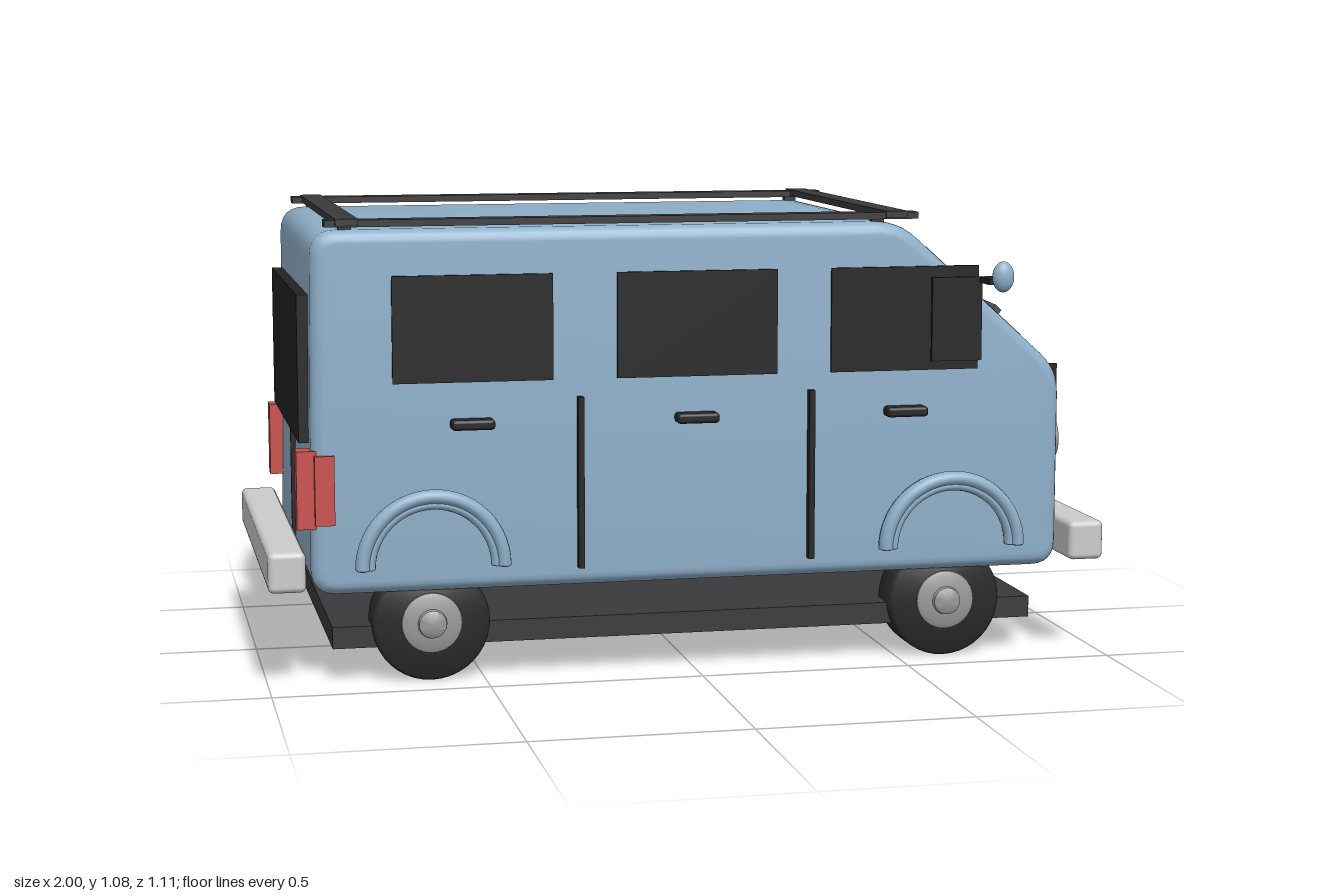
import * as THREE from 'three';
import { toCreasedNormals } from 'three/addons/utils/BufferGeometryUtils.js';
import { RoundedBoxGeometry } from 'three/addons/geometries/RoundedBoxGeometry.js';

const paint = (color) => new THREE.MeshStandardMaterial({ color });
const blue = paint(0x8fb0ca), black = paint(0x222222), dark = paint(0x3a3a3c), tyre = paint(0x2a2a2a);
const chrome = paint(0xcccccc), grey = paint(0x9a9a98), red = paint(0xc9504c), lens = paint(0x555a66);
const wiperGrey = paint(0x55555a);

export function createModel() {
  const van = new THREE.Group();
  van.name = 'van';

  const add = (name, geo, mat, x = 0, y = 0, z = 0) => {
    const m = new THREE.Mesh(geo, mat);
    m.name = name;
    m.position.set(x, y, z);
    van.add(m);
    return m;
  };
  // Box given by its limits on each axis
  const box = (name, mat, x0, x1, y0, y1, z0, z1) =>
    add(name, new THREE.BoxGeometry(x1 - x0, y1 - y0, z1 - z0), mat, (x0 + x1) / 2, (y0 + y1) / 2, (z0 + z1) / 2);
  // The same box on both sides
  const pair = (name, mat, x0, x1, y0, y1, z0, z1) => {
    box(name, mat, x0, x1, y0, y1, z0, z1);
    box(name, mat, x0, x1, y0, y1, -z1, -z0);
  };

  // Body shell: side profile with softened corners, extruded across the width
  const corners = [[-0.9, 0.215], [0.892, 0.215], [0.892, 0.69], [0.49, 1.05], [-0.89, 1.05]]
    .map((p) => new THREE.Vector2(...p));
  const profile = new THREE.Shape();
  corners.forEach((c, i) => {
    const toward = (o) => c.clone().add(o.clone().sub(c).setLength(0.06));
    const a = toward(corners[(i + 4) % 5]), b = toward(corners[(i + 1) % 5]);
    if (i === 0) profile.moveTo(a.x, a.y); else profile.lineTo(a.x, a.y);
    profile.quadraticCurveTo(c.x, c.y, b.x, b.y);
  });
  profile.closePath();
  const shell = new THREE.ExtrudeGeometry(profile, {
    depth: 0.814, curveSegments: 6, bevelThickness: 0.03, bevelSize: 0.03, bevelOffset: -0.03, bevelSegments: 5,
  });
  add('body', toCreasedNormals(shell, 0.6), blue, 0, 0, -0.407);

  // Side windows, door seams and handles
  for (const [x0, x1] of [[-0.71, -0.34], [-0.19, 0.19], [0.32, 0.68]])
    pair('sideWindow', black, x0, x1, 0.7, 0.945, 0.43, 0.444);
  for (const x of [-0.278, 0.272]) pair('doorSeam', black, x - 0.007, x + 0.007, 0.26, 0.66, 0.43, 0.458);
  for (const x of [-0.53, -0.005, 0.5]) {
    for (const s of [-1, 1])
      add('doorHandle', new RoundedBoxGeometry(0.1, 0.024, 0.045, 2, 0.008), black, x, 0.605, s * 0.456);
  }

  // Windscreen with wipers, laid on the sloping front
  const slope = new THREE.Group();
  slope.name = 'windscreenGroup';
  slope.position.set(0.69, 0.87, 0);
  slope.rotation.z = -Math.atan2(0.36, 0.402);
  van.add(slope);
  const onSlope = (name, mat, w, h, d, x, y, z) => {
    const m = new THREE.Mesh(new THREE.BoxGeometry(w, h, d), mat);
    m.name = name;
    m.position.set(x, y, z);
    slope.add(m);
    return m;
  };
  onSlope('windscreen', black, 0.325, 0.014, 0.69, 0.005, 0.004, 0);
  for (const s of [-1, 1]) {
    onSlope('wiper', wiperGrey, 0.022, 0.014, 0.175, 0.092, 0.026, s * 0.19).rotation.y = s * 0.12;
    onSlope('wiperPivot', wiperGrey, 0.016, 0.03, 0.026, 0.094, 0.02, s * 0.019);
  }

  // Rear window and door seam
  box('rearWindow', black, -0.918, -0.885, 0.56, 0.9, -0.365, 0.365);
  box('rearDoorSeam', black, -0.908, -0.88, 0.27, 0.56, -0.006, 0.006);

  // Tail lights on the back and around the corner
  pair('tailLight', red, -0.93, -0.885, 0.37, 0.55, 0.38, 0.43);
  pair('sideTailLight', red, -0.89, -0.845, 0.38, 0.54, 0.42, 0.448);

  // Roof rack
  pair('rackRail', dark, -0.86, 0.525, 1.058, 1.074, 0.405, 0.455);
  for (const x of [-0.81, 0.472]) box('rackCrossbar', dark, x - 0.026, x + 0.026, 1.061, 1.077, -0.459, 0.459);
  for (const x of [-0.81, 0.44]) pair('rackFoot', dark, x - 0.015, x + 0.015, 1.03, 1.06, 0.39, 0.41);

  // Bumpers
  for (const s of [-1, 1])
    add(s > 0 ? 'frontBumper' : 'rearBumper', new RoundedBoxGeometry(0.086, 0.094, 0.924, 3, 0.014), chrome, s * 0.957, 0.277, 0);

  // Headlights and front trim strips
  for (const s of [-1, 1]) {
    const cup = add('headlightBody', new THREE.CylinderGeometry(0.054, 0.054, 0.04, 32), dark, 0.9, 0.505, s * 0.28);
    cup.rotation.z = -Math.PI / 2;
    const ring = add('headlightRing', new THREE.TorusGeometry(0.051, 0.009, 10, 32), grey, 0.92, 0.505, s * 0.28);
    ring.rotation.y = Math.PI / 2;
    const glass = add('headlightLens', new THREE.SphereGeometry(0.045, 24, 12), lens, 0.918, 0.505, s * 0.28);
    glass.scale.x = 0.35;
  }
  pair('frontTrim', black, 0.885, 0.913, 0.44, 0.695, 0.343, 0.352);

  // Grille with a raised lattice
  add('grille', new RoundedBoxGeometry(0.045, 0.085, 0.152, 2, 0.01), black, 0.908, 0.368, 0);
  for (let i = -3; i <= 3; i++) box('grilleBar', dark, 0.925, 0.935, 0.338, 0.398, i * 0.02 - 0.003, i * 0.02 + 0.003);
  for (const y of [0.352, 0.384]) box('grilleBar', dark, 0.925, 0.934, y - 0.003, y + 0.003, -0.065, 0.065);

  // Wing mirrors on plates in the front windows
  pair('mirrorPlate', black, 0.56, 0.682, 0.722, 0.92, 0.454, 0.464);
  pair('mirrorArm', black, 0.676, 0.718, 0.906, 0.92, 0.456, 0.53);
  for (const s of [-1, 1])
    add('mirror', new THREE.SphereGeometry(1, 24, 16), blue, 0.708, 0.925, s * 0.535).scale.set(0.026, 0.036, 0.02);

  // Wheels, arches and axles
  const turned = (points) => new THREE.LatheGeometry(points.map((p) => new THREE.Vector2(...p)), 40);
  const tyreGeo = toCreasedNormals(turned([[0.0001, -0.05], [0.128, -0.05], [0.137, -0.042], [0.137, 0.042], [0.128, 0.05], [0.0001, 0.05]]), 0.9);
  const hubGeo = toCreasedNormals(turned([[0.07, 0.045], [0.07, 0.056], [0.06, 0.061], [0.034, 0.064], [0.032, 0.074], [0.02, 0.081], [0.0001, 0.083]]), 0.6);
  for (const x of [-0.623, 0.617]) {
    for (const s of [-1, 1]) {
      const wheel = new THREE.Group();
      wheel.name = 'wheel';
      wheel.position.set(x, 0.138, s * 0.361);
      wheel.rotation.x = s * Math.PI / 2;
      const rubber = new THREE.Mesh(tyreGeo, tyre), hub = new THREE.Mesh(hubGeo, grey);
      rubber.name = 'tyre';
      hub.name = 'hub';
      wheel.add(rubber, hub);
      van.add(wheel);
      for (const [r, t, z] of [[0.163, 0.017, 0.458], [0.145, 0.012, 0.456]]) {
        const arch = add('wheelArch', new THREE.TorusGeometry(r, t, 12, 28, Math.PI), blue, x, 0.278, s * z);
        arch.scale.z = 1.35;
        for (const e of [-1, 1])
          add('archEnd', new THREE.SphereGeometry(t, 12, 8), blue, x + e * r, 0.278, s * z).scale.set(1, 0.3, 1.35);
      }
    }
    box('axle', dark, x - 0.025, x + 0.025, 0.125, 0.163, -0.4, 0.4);
  }

  // Chassis with the parts slung beneath it
  box('chassis', dark, -0.85, 0.84, 0.08, 0.131, -0.385, 0.385);
  pair('frameRail', dark, -0.75, 0.75, 0.062, 0.085, 0.218, 0.28);
  box('driveshaft', dark, -0.55, 0.55, 0.066, 0.085, -0.025, 0.025);
  box('fuelTank', dark, -0.18, 0.13, 0.05, 0.085, -0.162, 0.17);
  box('muffler', dark, -0.54, -0.435, 0.041, 0.085, 0.103, 0.192);
  return van;
}
